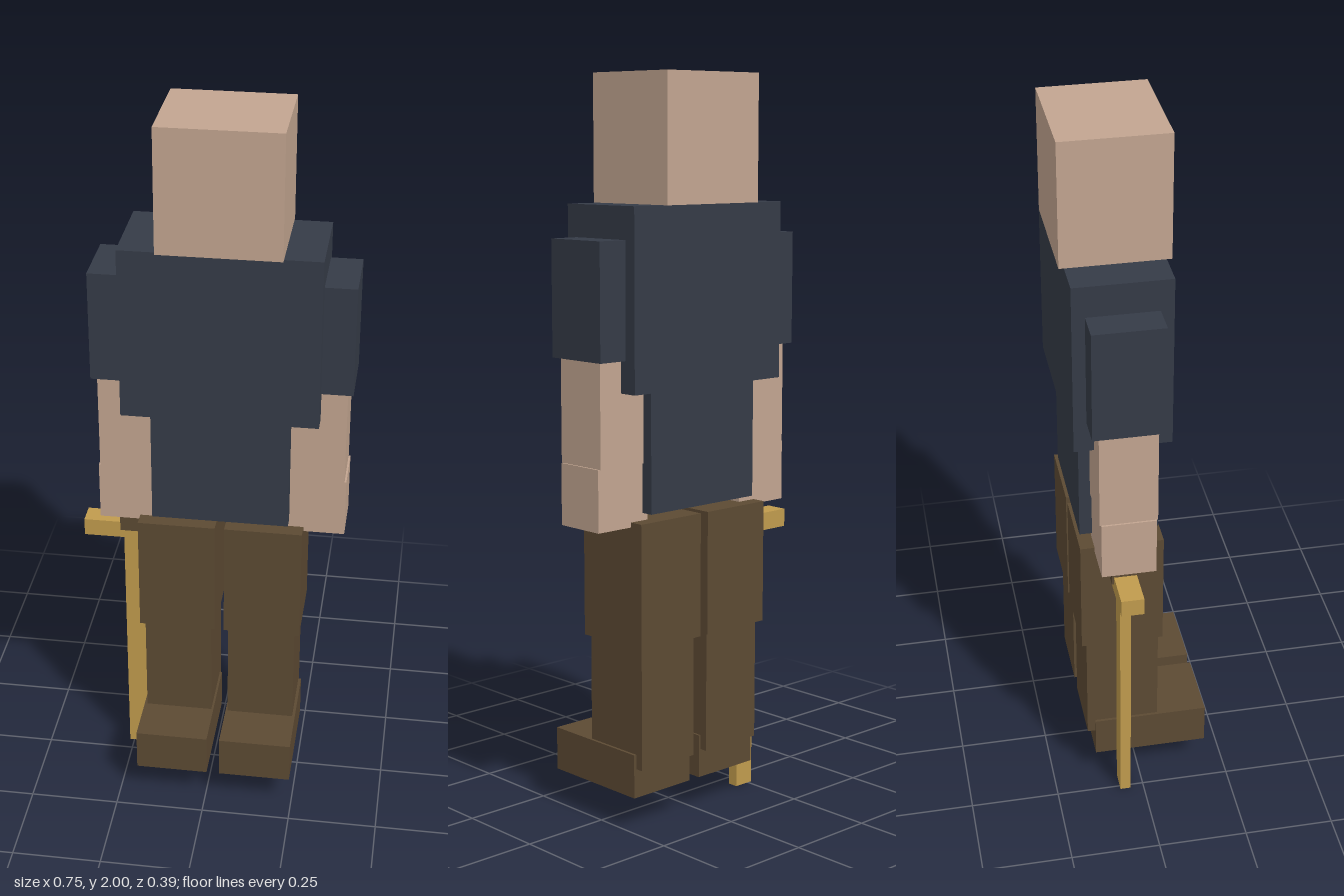
import * as THREE from 'three';

const material = (name, color) => {
  const m = new THREE.MeshStandardMaterial({ color });
  m.name = name;
  return m;
};

export function createModel() {
  const skin = material('skin', 0xc2a590);
  const shirt = material('navy cloth', 0x353b47);
  const brown = material('brown cloth', 0x5c4a33);
  const gold = material('golden wood', 0xc09b4d);

  const model = new THREE.Group();
  model.name = 'blockFigure';

  // Box given by its extents along x, y and z
  function box(parent, name, mat, [x0, x1], [y0, y1], [z0, z1]) {
    const mesh = new THREE.Mesh(new THREE.BoxGeometry(x1 - x0, y1 - y0, z1 - z0), mat);
    mesh.position.set((x0 + x1) / 2, (y0 + y1) / 2, (z0 + z1) / 2);
    mesh.name = name;
    parent.add(mesh);
  }

  // The cane widens the right side, so the body sits slightly towards its left
  const body = new THREE.Group();
  body.name = 'body';
  body.position.x = 0.023;
  model.add(body);

  // Head and torso
  box(body, 'head', skin, [-0.163, 0.163], [1.665, 2], [-0.196, 0.088]);
  box(body, 'chest', shirt, [-0.264, 0.264], [1.19, 1.665], [-0.183, 0.074]);
  box(body, 'waist', shirt, [-0.187, 0.187], [0.868, 1.19], [-0.16, 0.055]);

  // Arms and legs, mirrored
  for (const [side, s] of [['left', 1], ['right', -1]]) {
    const limb = (name, mat, inner, outer, y, z) =>
      box(body, side + name, mat, s > 0 ? [inner, outer] : [-outer, -inner], y, z);
    limb('Sleeve', shirt, 0.164, 0.349, [1.275, 1.58], [-0.149, 0.039]);
    limb('Forearm', skin, 0.179, 0.334, [1, 1.275], [-0.13, 0.024]);
    limb('Hand', skin, 0.17, 0.339, [0.835, 1], [-0.126, 0.02]);
    limb('Thigh', brown, 0.013, 0.227, [0.51, 0.848], [-0.165, 0.063]);
    limb('Shin', brown, 0.024, 0.213, [0.175, 0.51], [-0.15, 0.053]);
    limb('Shoe', brown, 0.018, 0.221, [0.095, 0.215], [-0.128, 0.193]);
  }

  // Walking cane at the right hand
  const cane = new THREE.Group();
  cane.name = 'cane';
  model.add(cane);
  box(cane, 'caneShaft', gold, [-0.263, -0.203], [0, 0.741], [-0.068, -0.038]);
  box(cane, 'caneHandle', gold, [-0.373, -0.16], [0.741, 0.791], [-0.085, -0.023]);
  box(cane, 'caneGrip', brown, [-0.269, -0.16], [0.768, 0.845], [-0.091, -0.017]);

  return model;
}
